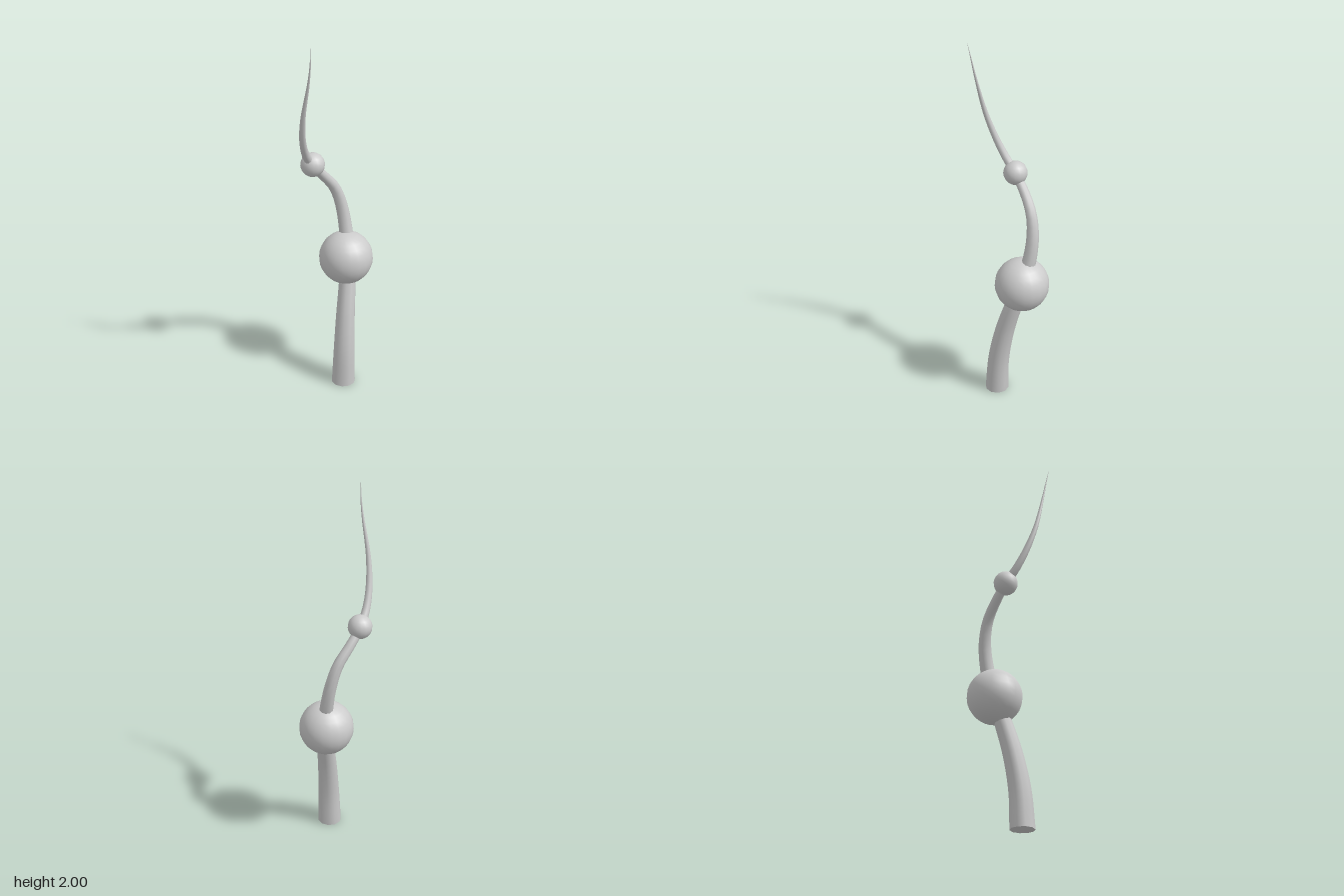
import * as THREE from 'three';

const SIDES = 10;
const RINGS = 48;
const BASE_RADIUS = 0.065;
const HEIGHT = 2;

const material = new THREE.MeshStandardMaterial({ color: 0xcccccc });

// Centre line of the stem, from the foot to the tip
const path = new THREE.CatmullRomCurve3([
  [0, 0, 0.098], [0.009, 0.2, 0.09], [0.032, 0.4, 0.062], [0.065, 0.58, 0.022],
  [0.088, 0.72, -0.016], [0.096, 0.86, -0.053], [0.082, 1.0, -0.077], [0.043, 1.11, -0.083],
  [-0.03, 1.2, -0.076], [-0.1, 1.28, -0.056], [-0.155, 1.36, -0.022], [-0.192, 1.46, 0.016],
  [-0.213, 1.6, 0.062], [-0.208, 1.8, 0.114], [-0.208, 1.9, 0.135], [-0.217, HEIGHT, 0.154],
].map((p) => new THREE.Vector3(...p)));

// Tube whose radius shrinks evenly with height
function taperedStem() {
  const geometry = new THREE.TubeGeometry(path, RINGS, 1, SIDES, false);
  const pos = geometry.attributes.position;
  const v = new THREE.Vector3();
  for (let ring = 0; ring <= RINGS; ring++) {
    const centre = path.getPointAt(ring / RINGS);
    const radius = BASE_RADIUS * (1 - centre.y / HEIGHT);
    for (let s = 0; s <= SIDES; s++) {
      const i = ring * (SIDES + 1) + s;
      v.fromBufferAttribute(pos, i).sub(centre).multiplyScalar(radius).add(centre);
      if (ring === 0) v.y = 0; // level foot
      pos.setXYZ(i, v.x, v.y, v.z);
    }
  }
  return geometry;
}

// Flat disc closing the first ring of the stem, facing down
function footCap(stem) {
  const ring = [];
  for (let s = 0; s < SIDES; s++) {
    ring.push(new THREE.Vector3().fromBufferAttribute(stem.attributes.position, s));
  }
  const centre = path.getPoint(0);
  ring.sort((a, b) => Math.atan2(a.z - centre.z, a.x - centre.x) - Math.atan2(b.z - centre.z, b.x - centre.x));
  const corners = [];
  for (let s = 0; s < SIDES; s++) corners.push(centre, ring[s], ring[(s + 1) % SIDES]);
  const geometry = new THREE.BufferGeometry().setFromPoints(corners);
  geometry.computeVertexNormals();
  return geometry;
}

export function createModel() {
  const model = new THREE.Group();
  model.name = 'beadedTendril';

  const add = (name, geometry, x = 0, y = 0, z = 0) => {
    const mesh = new THREE.Mesh(geometry, material);
    mesh.name = name;
    mesh.position.set(x, y, z);
    model.add(mesh);
  };

  const stem = taperedStem();
  add('stem', stem);
  add('footCap', footCap(stem));

  // Round beads threaded on the stem
  add('lowerBead', new THREE.SphereGeometry(0.146, 20, 14), 0.079, 0.708, -0.018);
  add('upperBead', new THREE.SphereGeometry(0.064, 16, 12), -0.099, 1.283, -0.056);

  return model;
}
